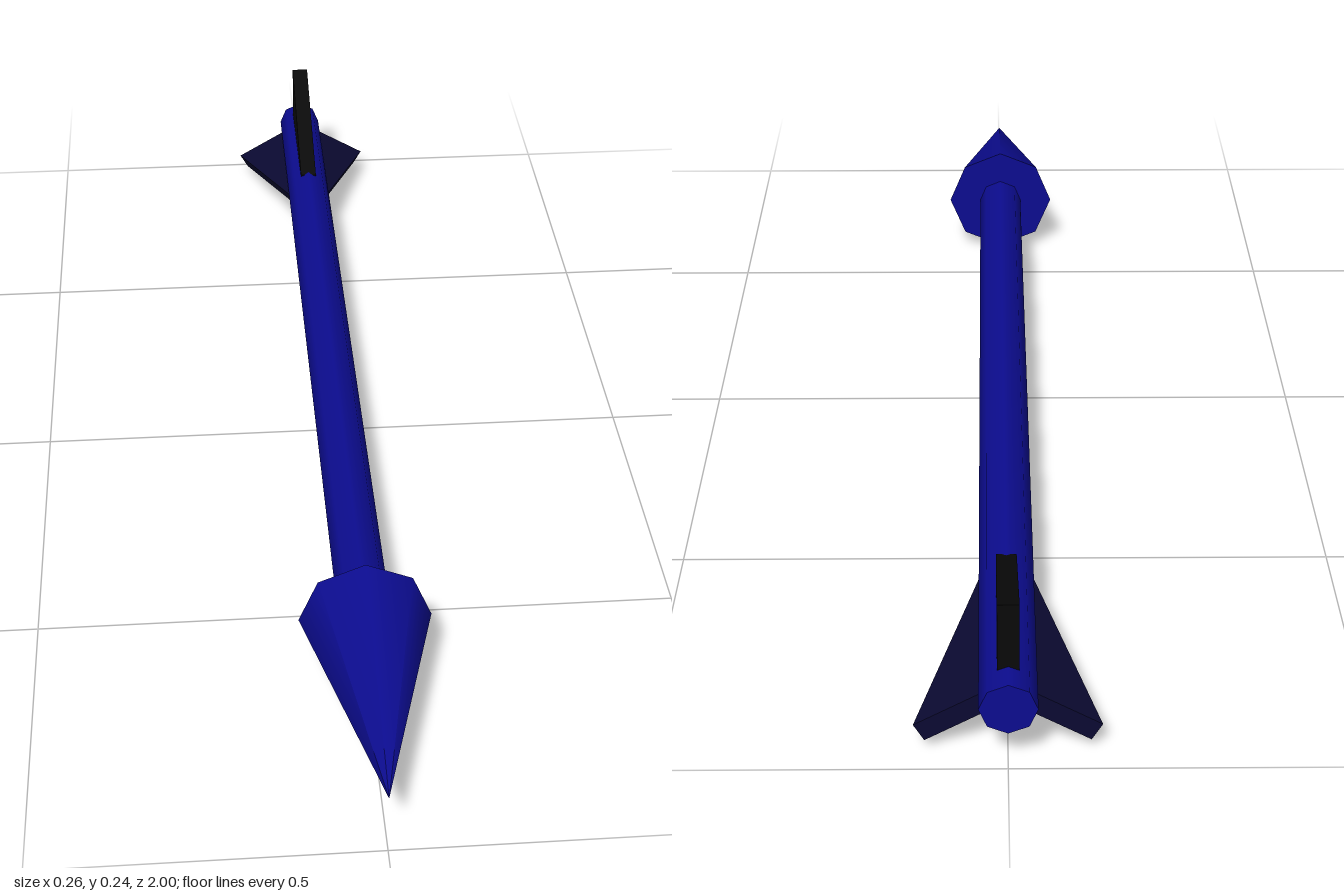
import * as THREE from 'three';

const AXIS_Y = 0.1;

function material(name, color) {
  const m = new THREE.MeshStandardMaterial({ color });
  m.name = name;
  return m;
}

export function createModel() {
  const blue = material('deepBlue', 0x0c0c90);
  const black = material('black', 0x0a0a0a);
  const navy = material('darkNavy', 0x0b0a32);

  const arrow = new THREE.Group();
  arrow.name = 'arrow';

  const add = (name, geometry, mat) => {
    const mesh = new THREE.Mesh(geometry, mat);
    mesh.name = name;
    mesh.position.y = AXIS_Y;
    arrow.add(mesh);
    return mesh;
  };

  // Eight-sided shaft along z
  const shaft = new THREE.CylinderGeometry(0.04, 0.04, 1.625, 8);
  shaft.rotateX(Math.PI / 2).translate(0, 0, -0.1875);
  add('shaft', shaft, blue);

  // Eight-sided pointed head
  const head = new THREE.ConeGeometry(0.1, 0.375, 8);
  head.rotateX(Math.PI / 2).translate(0, 0, 0.8125);
  add('head', head, blue);

  // Fin outline: (distance along the tail, height above the shaft axis)
  const outline = new THREE.Shape([
    new THREE.Vector2(0.69, 0.02),
    new THREE.Vector2(0.96, 0.02),
    new THREE.Vector2(0.96, 0.14),
    new THREE.Vector2(0.69, 0.037),
  ]);
  const fin = new THREE.ExtrudeGeometry(outline, { depth: 0.03, bevelEnabled: false });
  fin.translate(0, 0, -0.015).rotateY(Math.PI / 2);

  // Three fins spaced evenly around the shaft
  ['topFin', 'rightFin', 'leftFin'].forEach((name, i) => {
    add(name, fin, i === 0 ? black : navy).rotation.z = (i * Math.PI * 2) / 3;
  });

  return arrow;
}
